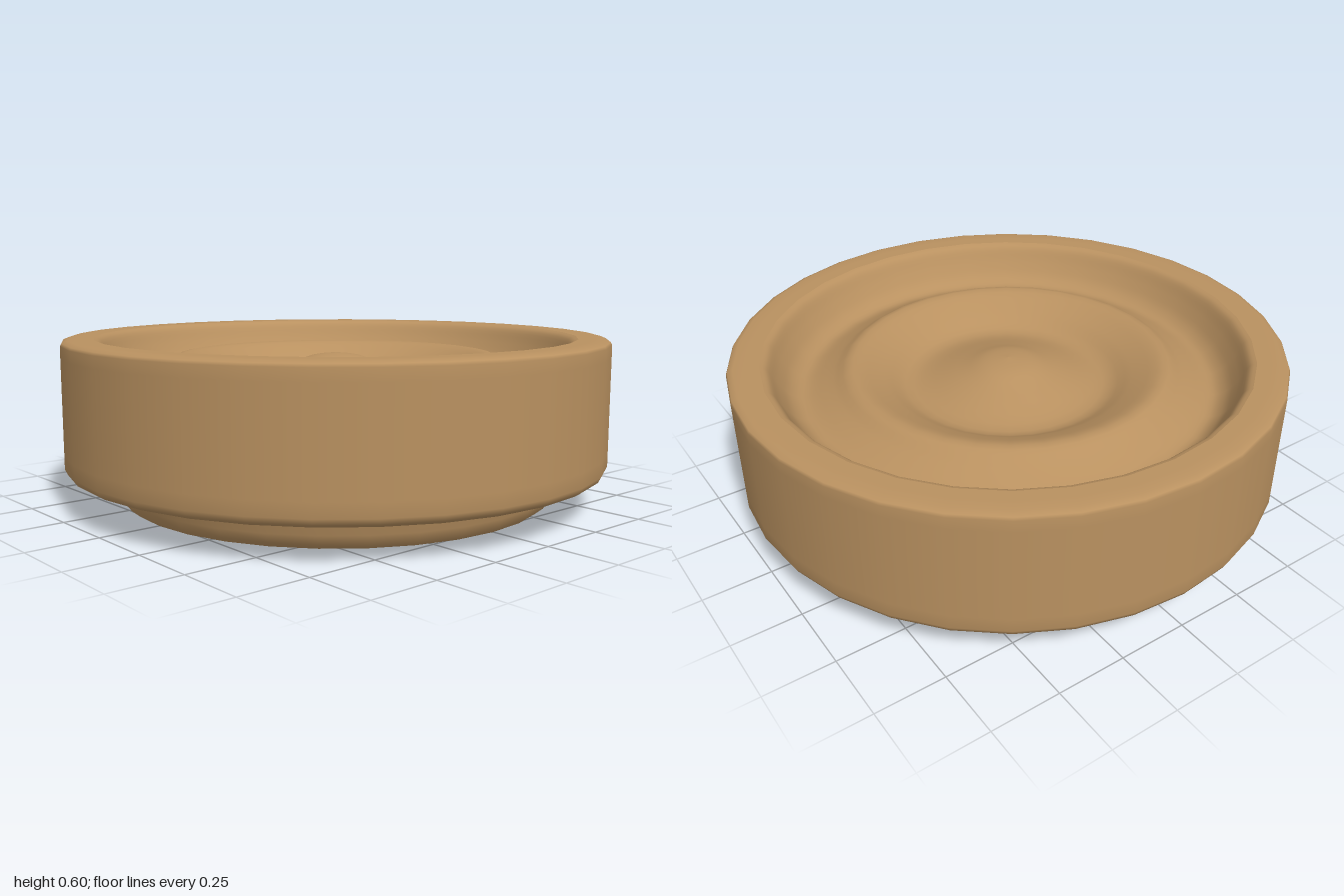
import * as THREE from 'three';

const SIDES = 32;
const v = (x, y) => new THREE.Vector2(x, y);

export function createModel() {
  const group = new THREE.Group();
  group.name = 'roundDish';
  const clay = new THREE.MeshStandardMaterial({ color: 0xb99160 });
  clay.name = 'tan clay';

  const addLathe = (name, points) => {
    const mesh = new THREE.Mesh(new THREE.LatheGeometry(points, SIDES), clay);
    mesh.name = name;
    group.add(mesh);
  };

  // Tapered foot with a small bevel at the ground
  addLathe('footBottom', [v(0, 0), v(0.78, 0)]);
  addLathe('foot', [v(0.78, 0), v(0.805, 0.02), v(0.815, 0.05), v(0.835, 0.12)]);

  // Body: underside, beveled lower edge, straight wall, rounded rim
  addLathe('underside', [v(0.83, 0.12), v(0.975, 0.12)]);
  addLathe('bodyWall', [
    v(0.975, 0.12), v(0.99, 0.13), v(1, 0.15), v(1, 0.2), v(1, 0.54),
    v(1, 0.582), v(0.995, 0.592), v(0.975, 0.6), v(0.93, 0.6), v(0.885, 0.6),
  ]);

  // Sunken top: steep inner wall, outer trough, ring ridge, inner trough, centre dome
  const bowl = new THREE.SplineCurve([
    v(0.885, 0.6), v(0.86, 0.585), v(0.83, 0.53), v(0.79, 0.475), v(0.735, 0.455),
    v(0.64, 0.496), v(0.565, 0.535), v(0.455, 0.49), v(0.35, 0.44),
    v(0.19, 0.485), v(0.09, 0.522), v(0, 0.533),
  ]);
  const bowlPoints = bowl.getPoints(44);
  bowlPoints[bowlPoints.length - 1].x = 0;
  addLathe('rippledTop', bowlPoints);

  return group;
}
